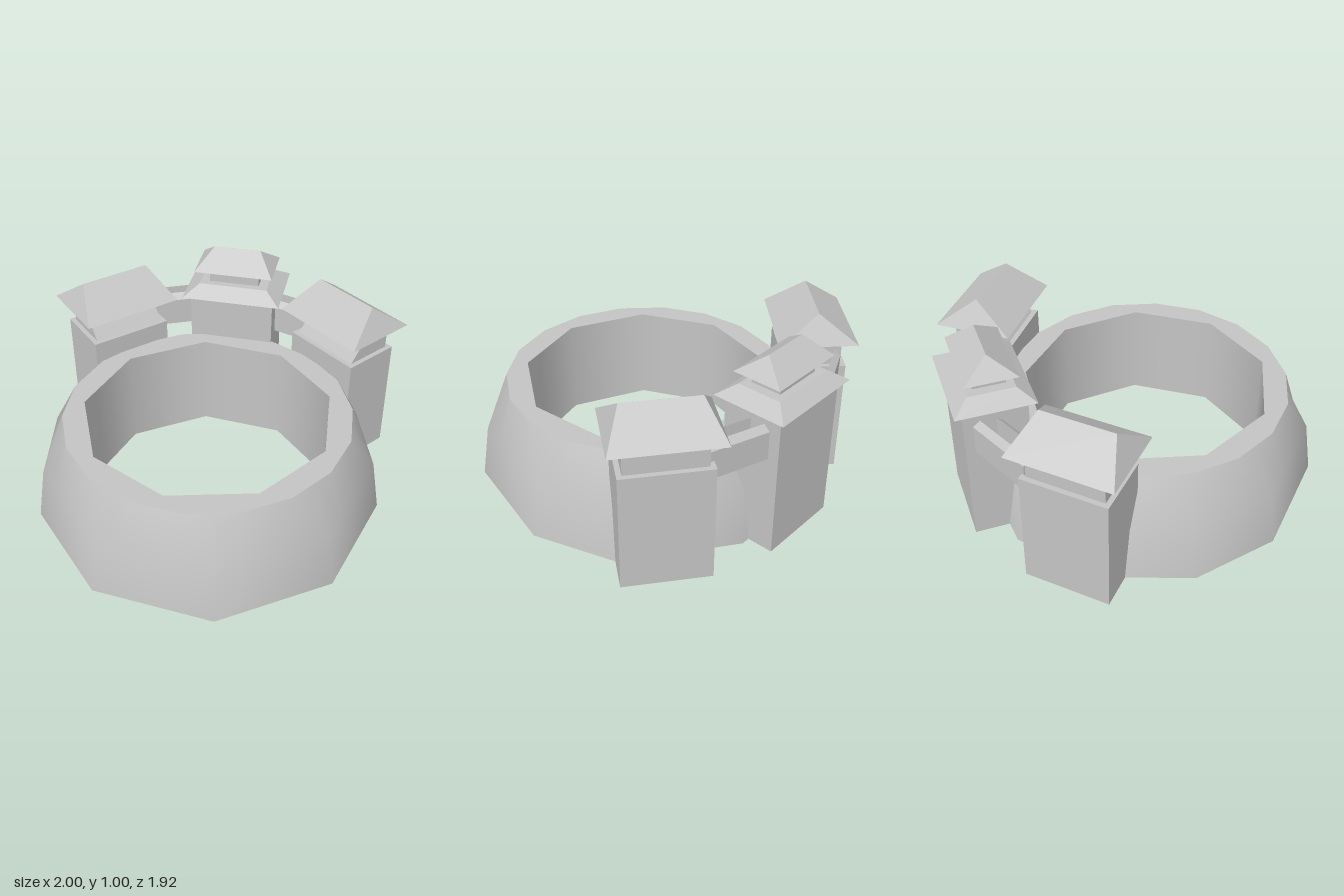
import * as THREE from 'three';

const RAD = Math.PI / 180;
const CX = -0.123, CZ = 0.125; // centre of the ring wall

// Distance from the centre to a polygon's edge in direction a (degrees)
function polygonRadius(corners, a) {
  for (let i = 0; i < corners.length; i++) {
    const [a0, r0] = corners[i];
    let [a1, r1] = corners[(i + 1) % corners.length];
    if (a1 <= a0) a1 += 360;
    const t = a < a0 ? a + 360 : a;
    if (t > a1) continue;
    const u = (t - a0) * RAD, w = (a1 - t) * RAD;
    return (r0 * r1 * Math.sin(u + w)) / (r0 * Math.sin(u) + r1 * Math.sin(w));
  }
  return corners[0][1];
}

// Strip between rows of { corners, y, normal: [outward, up] }
function ringStrip(rows) {
  const n = 36, pos = [], nor = [], idx = [];
  rows.forEach(({ corners, y, normal }) => {
    for (let i = 0; i <= n; i++) {
      const deg = (i % n) * 10, r = polygonRadius(corners, deg);
      const s = Math.sin(deg * RAD), c = Math.cos(deg * RAD);
      pos.push(CX + r * s, y, CZ + r * c);
      nor.push(normal[0] * s, normal[1], normal[0] * c);
    }
  });
  for (let j = 0; j < rows.length - 1; j++) {
    for (let i = 0; i < n; i++) {
      const a = j * (n + 1) + i, b = a + n + 1;
      idx.push(a, a + 1, b, a + 1, b + 1, b);
    }
  }
  const g = new THREE.BufferGeometry();
  g.setAttribute('position', new THREE.Float32BufferAttribute(pos, 3));
  g.setAttribute('normal', new THREE.Float32BufferAttribute(nor, 3));
  g.setIndex(idx);
  return g;
}

// Box tapering to w2 x d2 at the top, standing on y = 0; shift moves the top in z
function taperedBox(w, d, h, w2 = w, d2 = d, shift = 0) {
  const box = new THREE.BoxGeometry(w, h, d).translate(0, h / 2, 0);
  const p = box.attributes.position;
  for (let i = 0; i < p.count; i++) {
    if (p.getY(i) > h / 2) p.setXYZ(i, p.getX(i) * w2 / w, h, p.getZ(i) * d2 / d + shift);
  }
  const g = box.toNonIndexed();
  g.computeVertexNormals();
  return g;
}

// Upright box without its bottom face
function openBox(w, d, h) {
  const box = new THREE.BoxGeometry(w, h, d).translate(0, h / 2, 0);
  const index = Array.from(box.index.array);
  index.splice(18, 6);
  box.setIndex(index);
  return box;
}

export function createModel() {
  const model = new THREE.Group();
  model.name = 'ringFort';
  const stone = new THREE.MeshStandardMaterial({ color: 0xc4c4c4, side: THREE.DoubleSide });
  stone.name = 'grey stone';

  function add(parent, name, geometry, y = 0) {
    const mesh = new THREE.Mesh(geometry, stone);
    mesh.name = name;
    mesh.position.y = y;
    parent.add(mesh);
    return mesh;
  }

  // Ring wall, hollow and open below: nine-sided foot and hole, eighteen-sided rim
  const foot = [20, 60, 90, 130, 170, 200, 230, 260, 300, 340]
    .map(a => [a, a >= 90 && a <= 230 ? 0.904 : 0.89]);
  const belly = foot.map(([a, r]) => [a, r * 0.949]);
  const rim = Array.from({ length: 18 }, (_, i) => [10 + i * 20, 0.728]);
  const hole = Array.from({ length: 9 }, (_, i) => [i * 40, 0.635]);
  const top = 0.525;
  const wall = new THREE.Group();
  wall.name = 'ringWall';
  model.add(wall);
  add(wall, 'outerWall', ringStrip([
    { corners: foot, y: 0.005, normal: [0.988, 0.155] },
    { corners: belly, y: 0.285, normal: [0.96, 0.28] },
    { corners: rim, y: top, normal: [0.91, 0.41] }]));
  add(wall, 'wallTop', ringStrip([
    { corners: rim, y: top, normal: [0, 1] },
    { corners: hole, y: top, normal: [0, 1] }]));
  add(wall, 'innerWall', ringStrip([
    { corners: hole, y: top, normal: [-1, 0] },
    { corners: hole, y: 0, normal: [-1, 0] }]));

  // Towers, open below
  function place(name, x, z, turn) {
    const g = new THREE.Group();
    g.name = name;
    g.position.set(x, 0, z);
    g.rotation.y = turn * RAD;
    model.add(g);
    return g;
  }
  for (const [name, x, z, turn] of [
    ['rightTower', -0.326, -0.714, 10.8],
    ['leftTower', 0.728, -0.076, -72.6]]) {
    const t = place(name, x, z, turn);
    add(t, 'towerBody', openBox(0.44, 0.31, 0.625), 0.003);
    // the neck's inner face leans back under the roof
    add(t, 'towerNeck', taperedBox(0.39, 0.26, 0.145, 0.39, 0.14, -0.06), 0.625);
    add(t, 'hipRoof', taperedBox(0.534, 0.397, 0.145, 0.375, 0.001), 0.77);
  }
  const mid = place('middleTower', 0.334, -0.59, -34.6);
  add(mid, 'towerBody', openBox(0.45, 0.315, 0.767), 0.003);
  add(mid, 'lowerRoof', taperedBox(0.53, 0.392, 0.057, 0.37, 0.235), 0.77);
  add(mid, 'lantern', taperedBox(0.27, 0.16, 0.08), 0.825);
  add(mid, 'upperRoof', taperedBox(0.426, 0.26, 0.098, 0.252, 0.001), 0.9);

  // Walkways joining the towers: two side walls with sloping tops and a gap between
  for (const [name, x, z, turn] of [
    ['rightWalkway', 0.026, -0.775, -10.8],
    ['leftWalkway', 0.61, -0.39, -52.9]]) {
    const w = place(name, x, z, turn);
    for (const side of [0, Math.PI]) {
      const profile = new THREE.Shape([[0.035, 0], [0.067, 0], [0.067, 0.15], [0.035, 0.18]]
        .map(([px, py]) => new THREE.Vector2(px, py)));
      const beam = new THREE.ExtrudeGeometry(profile, { depth: 0.38, bevelEnabled: false });
      beam.translate(0, 0, -0.19).rotateY(Math.PI / 2 + side);
      add(w, 'walkwaySide', beam, 0.53);
    }
  }
  return model;
}
